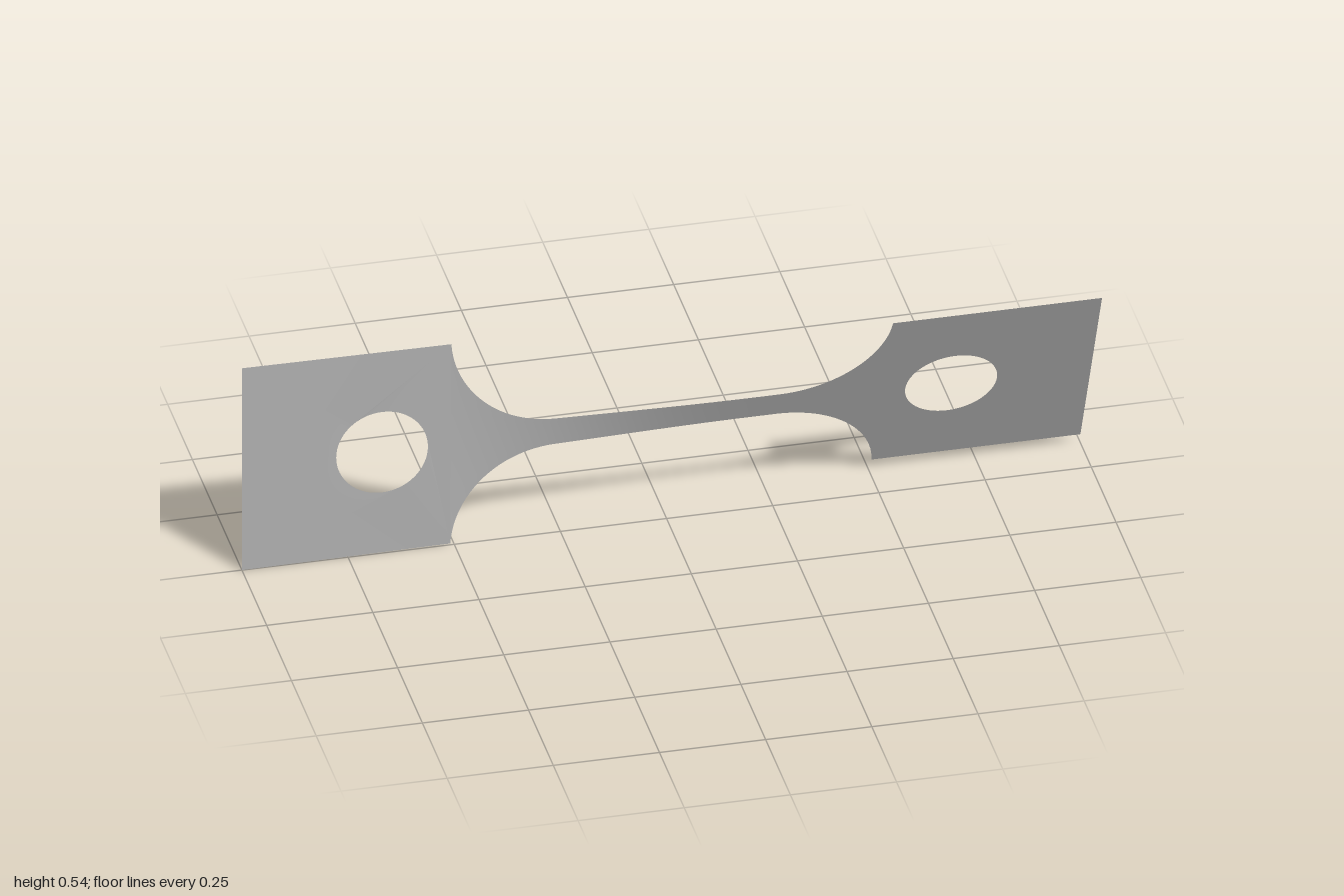
import * as THREE from 'three';

const MID = 0.271;          // height of the long axis
const HALF = 0.271;         // half height of the end plates
const NECK = 0.0385;        // half height of the neck
const EDGE = 0.508;         // inner edge of the end plates
const R = 0.247;            // fillet radius
const TWIST = THREE.MathUtils.degToRad(23.8);

// rotate the flat outline about the long axis, more towards +x
function twist(geometry) {
  const p = geometry.attributes.position;
  for (let i = 0; i < p.count; i++) {
    const x = p.getX(i), h = p.getY(i);
    const a = TWIST * THREE.MathUtils.smoothstep(x, -0.62, 0.2);
    p.setXYZ(i, x, MID + h * Math.cos(a), h * Math.sin(a));
  }
  geometry.computeVertexNormals();
  return geometry;
}

// square end plate with a round hole
function plate(side) {
  const x0 = side < 0 ? -1 : EDGE, x1 = side < 0 ? -EDGE : 1;
  const shape = new THREE.Shape();
  shape.moveTo(x0, -HALF);
  shape.lineTo(x1, -HALF);
  shape.lineTo(x1, HALF);
  shape.lineTo(x0, HALF);
  shape.closePath();
  const hole = new THREE.Path();
  hole.absarc(side * 0.67, 0, 0.108, 0, Math.PI * 2, true);
  shape.holes.push(hole);
  return twist(new THREE.ShapeGeometry(shape, 32));
}

// waisted strip between the plates: columns of [x, half height]
function neck() {
  const cy = NECK + R;
  const start = Math.asin((cy - HALF) / R);
  const cx = EDGE - R * Math.cos(start);
  const left = [], N = 24;
  for (let i = 0; i <= N; i++) {
    const a = start + (Math.PI / 2 - start) * i / N;
    left.push([-cx - R * Math.cos(a), cy - R * Math.sin(a)]);
  }
  const right = left.map(([x, h]) => [-x, h]).reverse();
  const middle = [];
  for (let i = 1; i < 24; i++) middle.push([-cx + 2 * cx * i / 24, NECK]);
  const cols = [...left, ...middle, ...right];

  const geometry = new THREE.PlaneGeometry(1, 2, cols.length - 1, 8);
  const p = geometry.attributes.position;
  for (let i = 0; i < p.count; i++) {
    const [x, h] = cols[i % cols.length];
    p.setXY(i, x, p.getY(i) * h);
  }
  return twist(geometry);
}

export function createModel() {
  const group = new THREE.Group();
  group.name = 'twistedStrip';
  const metal = new THREE.MeshStandardMaterial({ color: 0xb4b4b4, side: THREE.DoubleSide });
  metal.name = 'grey metal';
  const add = (name, geometry) => {
    const mesh = new THREE.Mesh(geometry, metal);
    mesh.name = name;
    group.add(mesh);
  };
  add('rightPlate', plate(-1));
  add('neck', neck());
  add('leftPlate', plate(1));
  return group;
}
